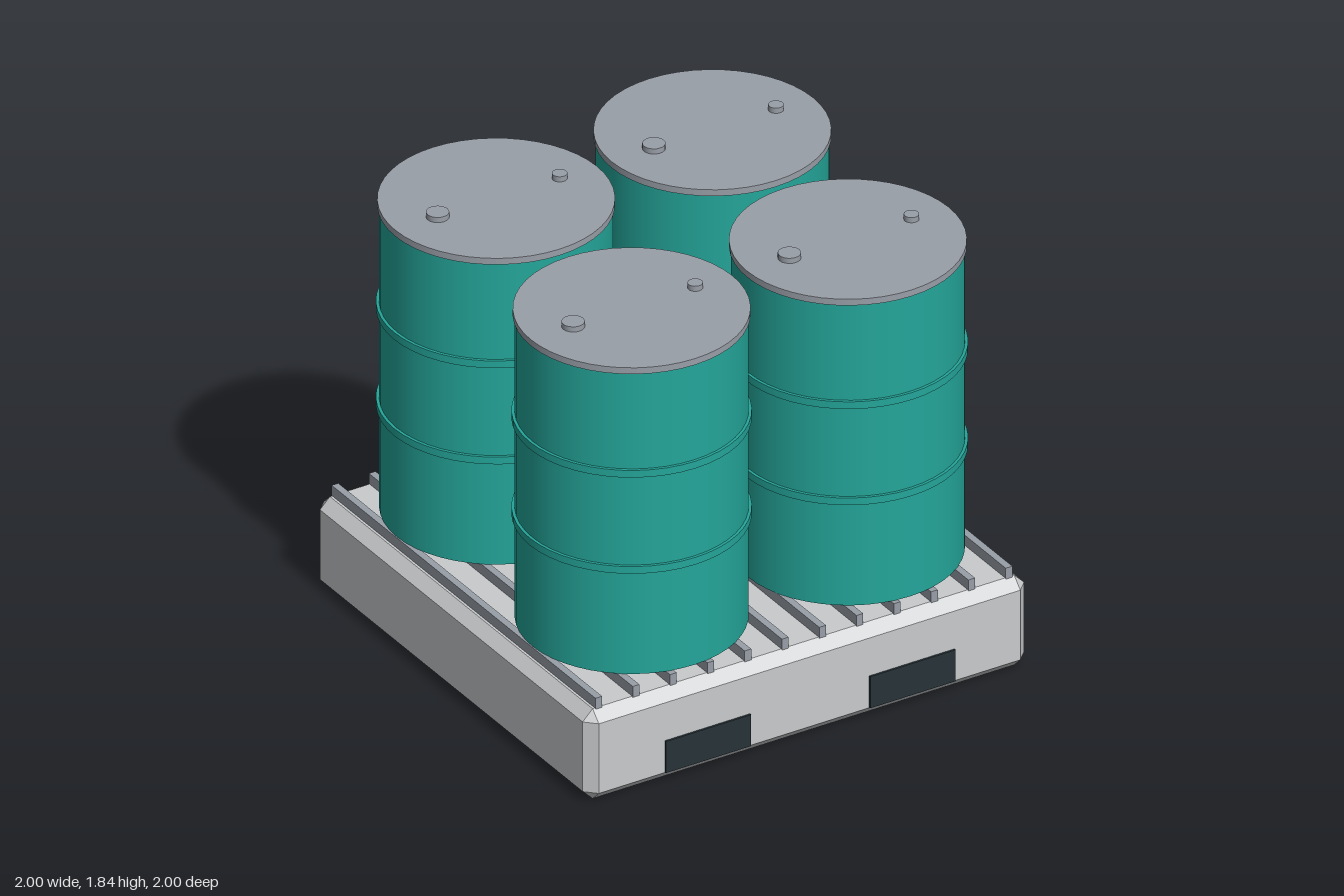
import * as THREE from 'three';
import { ConvexGeometry } from 'three/addons/geometries/ConvexGeometry.js';

const mat = (name, color) => {
  const m = new THREE.MeshStandardMaterial({ color });
  m.name = name;
  return m;
};

export function createModel() {
  const paleGrey = mat('paleGrey', 0xc8cacc);
  const steelGrey = mat('steelGrey', 0x999fa8);
  const teal = mat('teal', 0x24a69a);
  const dark = mat('darkSlate', 0x263238);

  const model = new THREE.Group();
  model.name = 'drumPallet';

  const add = (parent, name, geometry, material, x, y, z) => {
    const mesh = new THREE.Mesh(geometry, material);
    mesh.name = name;
    mesh.position.set(x, y, z);
    parent.add(mesh);
  };
  const disc = (r, h, n) => new THREE.CylinderGeometry(r, r, h, n);

  // Box with every edge chamfered
  const chamferBox = (w, h, d, c) => {
    const pts = [];
    for (const sx of [-1, 1]) for (const sy of [-1, 1]) for (const sz of [-1, 1]) {
      for (let axis = 0; axis < 3; axis++) {
        pts.push(new THREE.Vector3(
          sx * (w / 2 - (axis === 0 ? 0 : c)),
          sy * (h / 2 - (axis === 1 ? 0 : c)),
          sz * (d / 2 - (axis === 2 ? 0 : c))
        ));
      }
    }
    return new ConvexGeometry(pts);
  };

  // Spill tray
  const cz = -0.005;
  add(model, 'tray', chamferBox(2, 0.4, 1.99, 0.045), paleGrey, 0, 0.2, cz);

  // Fork pockets on the front
  for (const s of [-1, 1]) {
    add(model, 'forkPocket', new THREE.BoxGeometry(0.386, 0.14, 0.009), dark, s * 0.463, 0.117, 0.994);
  }

  // Grating slats running front to back
  const slat = new THREE.BoxGeometry(0.03, 0.055, 1.908);
  for (let i = 0; i < 12; i++) {
    add(model, 'gratingSlat', slat, steelGrey, (i - 5.5) * 0.169, 0.4175, cz);
  }

  // Four drums
  const body = disc(0.45, 1.345, 48);
  const hoop = disc(0.462, 0.032, 48);
  const lid = disc(0.457, 0.028, 48);
  const bigBung = disc(0.045, 0.03, 20);
  const smallBung = disc(0.03, 0.03, 20);
  for (const x of [-0.49, 0.49]) for (const z of [-0.49, 0.49]) {
    const drum = new THREE.Group();
    drum.name = 'drum';
    drum.position.set(x, 0, z + cz);
    add(drum, 'drumBody', body, teal, 0, 1.1175, 0);
    for (const y of [0.914, 1.342]) add(drum, 'drumHoop', hoop, teal, 0, y, 0);
    add(drum, 'drumLid', lid, steelGrey, 0, 1.798, 0);
    add(drum, 'largeBung', bigBung, steelGrey, -0.265, 1.82, 0);
    add(drum, 'smallBung', smallBung, steelGrey, 0.288, 1.82, 0);
    model.add(drum);
  }
  return model;
}
